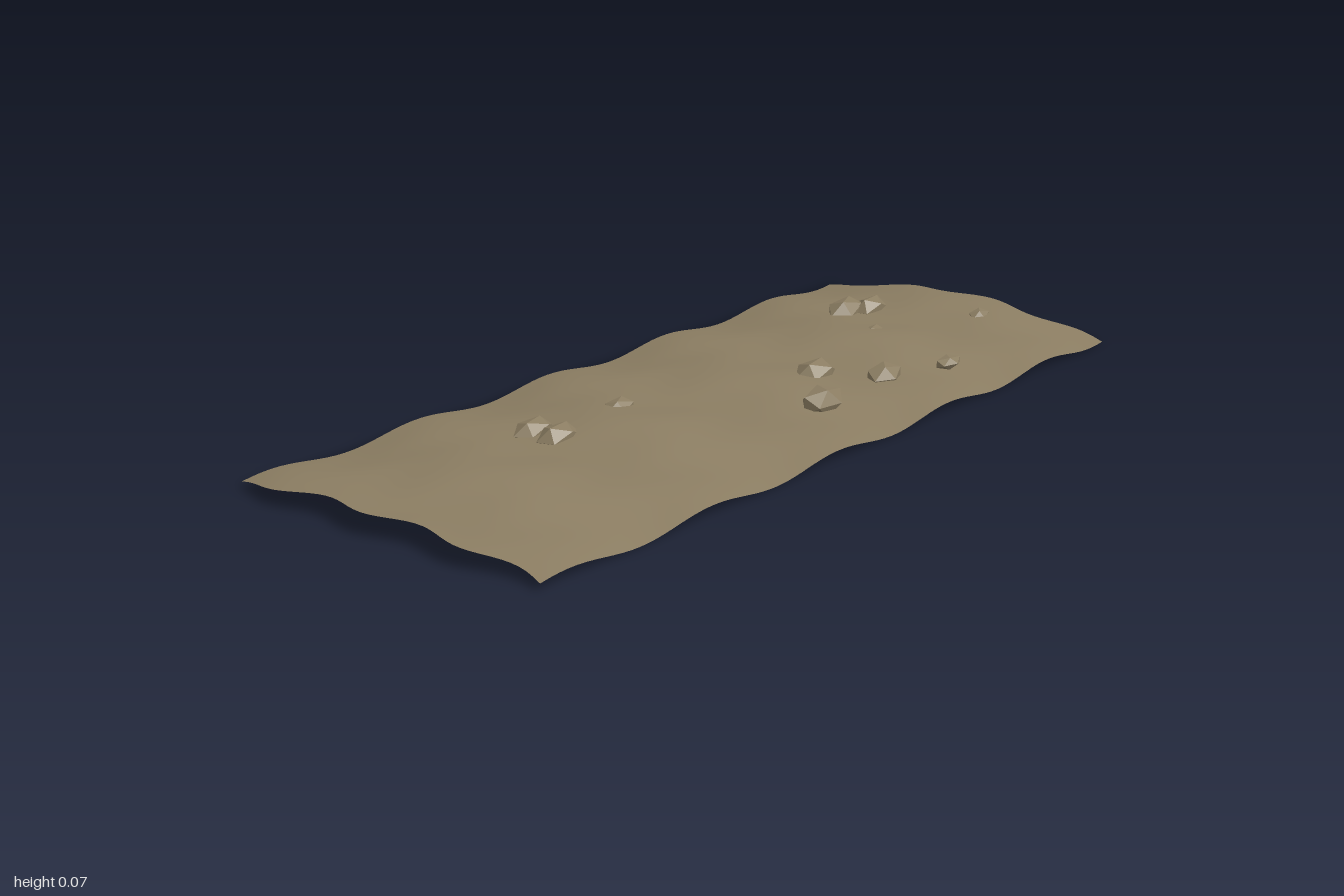
import * as THREE from 'three';

const HALF_X = 0.9875, HALF_Z = 0.41;

// Height of the arched, rippled ground sheet
function groundHeight(x, z) {
  const arch = 0.052 - 0.0395 * (z / HALF_Z) ** 2;
  return arch + 0.0098 * Math.cos(15.3 * (x + 0.71)) * Math.cos(7.7 * z);
}

export function createModel() {
  const model = new THREE.Group();
  const earth = new THREE.MeshStandardMaterial({ color: 0x8b7d62, side: THREE.DoubleSide });
  earth.name = 'dry earth';

  // Ground sheet: rippled plane whose short ends wave from side to side
  const sheet = new THREE.PlaneGeometry(2 * HALF_X, 2 * HALF_Z, 80, 40).rotateX(-Math.PI / 2);
  const p = sheet.attributes.position;
  for (let i = 0; i < p.count; i++) {
    const x = p.getX(i), z = p.getZ(i);
    p.setX(i, x + 0.0125 * Math.cos(25.1 * (z + HALF_Z)));
    p.setY(i, groundHeight(x, z));
  }
  sheet.computeVertexNormals();
  const ground = new THREE.Mesh(sheet, earth);
  ground.name = 'ground';
  model.add(ground);

  // Half-buried faceted stones: x, z, y, half width, half height, half depth, turn
  const stones = [
    [-0.44, -0.12, 0.043, 0.056, 0.026, 0.035, 0.4],
    [-0.44, -0.05, 0.044, 0.056, 0.028, 0.038, 0.2],
    [-0.215, -0.08, 0.043, 0.045, 0.022, 0.029, 0.7],
    [0.245, 0.10, 0.043, 0.063, 0.032, 0.043, 0.3],
    [0.095, 0.23, 0.044, 0.064, 0.032, 0.041, 1.3],
    [0.335, 0.225, 0.043, 0.055, 0.027, 0.036, 0.9],
    [0.495, 0.29, 0.049, 0.042, 0.014, 0.025, 1.1],
    [0.71, -0.15, 0.043, 0.064, 0.032, 0.040, 0.6],
    [0.765, -0.115, 0.043, 0.056, 0.030, 0.034, 0.1],
    [0.875, 0.13, 0.044, 0.036, 0.018, 0.023, 0.8],
    [0.60, 0.01, 0.041, 0.042, 0.018, 0.025, 0.5],
  ];
  const stoneGroup = new THREE.Group();
  stoneGroup.name = 'stones';
  for (const [x, z, y, w, h, d, turn] of stones) {
    const geometry = new THREE.IcosahedronGeometry(1, 0).rotateY(turn).scale(w, h * 1.15, d);
    const stone = new THREE.Mesh(geometry, earth);
    stone.name = 'stone';
    stone.position.set(x, y, z);
    stoneGroup.add(stone);
  }
  model.add(stoneGroup);
  return model;
}
